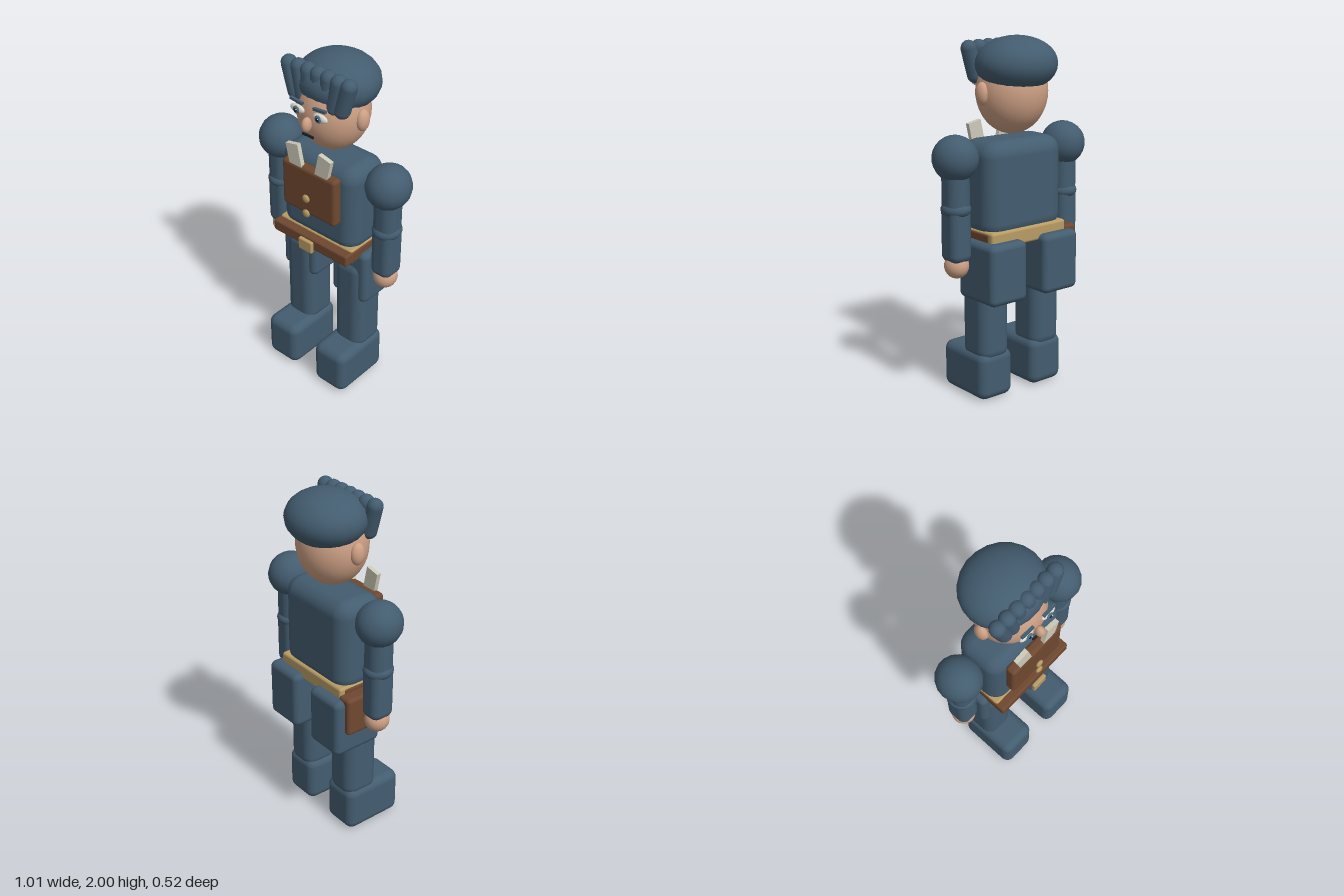
import * as THREE from 'three';
import { RoundedBoxGeometry } from 'three/addons/geometries/RoundedBoxGeometry.js';

const mat = (name, color) => new THREE.MeshStandardMaterial({ name, color });

export function createModel() {
  const navy = mat('navy', 0x435c6f);
  const skin = mat('skin', 0xcda084);
  const leather = mat('leather', 0x6f4830);
  const brass = mat('brass', 0xb89c64);
  const paper = mat('paper', 0xcfcbb9);
  const eyeWhite = mat('eyeWhite', 0xdedcd2);
  const iris = mat('iris', 0x55748a);
  const dark = mat('dark', 0x1c2229);

  const root = new THREE.Group();
  const add = (name, geometry, material, x, y, z, tilt = 0) => {
    const mesh = new THREE.Mesh(geometry, material);
    mesh.name = name;
    mesh.position.set(x, y, z);
    mesh.rotation.z = tilt;
    root.add(mesh);
    return mesh;
  };
  // Rounded box given by its extents in y and z, centred on x
  const block = (name, material, x, w, [y0, y1], [z0, z1], radius) =>
    add(name, new RoundedBoxGeometry(w, y1 - y0, z1 - z0, 3, radius), material,
      x, (y0 + y1) / 2, (z0 + z1) / 2);
  const ball = (name, material, x, y, z, rx, ry, rz, seg = 20) =>
    add(name, new THREE.SphereGeometry(1, seg, Math.ceil(seg * 0.7)).scale(rx, ry, rz), material, x, y, z);

  // Torso and belt
  block('torso', navy, 0, 0.53, [0.92, 1.455], [-0.15, 0.15], 0.09);
  block('jacketHem', brass, 0, 0.525, [0.885, 0.975], [-0.16, 0.15], 0.015);
  block('belt', leather, 0, 0.535, [0.895, 0.965], [-0.13, 0.2], 0.012);
  block('buckle', brass, 0, 0.096, [0.895, 0.968], [0.212, 0.236], 0.008);
  block('hipPouch', leather, -0.295, 0.09, [0.715, 0.94], [-0.165, 0.02], 0.02);

  // Chest pouch with two folded papers
  block('chestPouch', leather, 0, 0.375, [1.12, 1.41], [0.14, 0.204], 0.022);
  for (const y of [1.14, 1.235]) ball('pouchButton', brass, 0, y, 0.218, 0.024, 0.024, 0.012, 14);

  for (const s of [1, -1]) {
    const side = s > 0 ? 'left' : 'right';

    add(side + 'Paper', new THREE.BoxGeometry(0.085, 0.2, 0.026), paper, s * 0.094, 1.425, 0.186, -s * 0.22);

    // Legs
    block(side + 'Shoe', navy, s * 0.183, 0.226, [0, 0.275], [-0.11, 0.26], 0.05);
    block(side + 'Leg', navy, s * 0.185, 0.198, [0.22, 0.835], [-0.11, 0.106], 0.065);
    block(side + 'CoatTail', navy, s * 0.185, 0.25, [0.58, 0.92], [-0.22, 0.088], 0.035);

    // Arms
    ball(side + 'Shoulder', navy, s * 0.382, 1.375, 0, 0.123, 0.125, 0.13, 18);
    block(side + 'UpperArm', navy, s * 0.382, 0.138, [1.06, 1.36], [-0.073, 0.073], 0.06);
    ball(side + 'Elbow', navy, s * 0.382, 1.102, 0, 0.08, 0.052, 0.086);
    block(side + 'Forearm', navy, s * 0.382, 0.132, [0.81, 1.13], [-0.072, 0.072], 0.045);
    ball(side + 'Hand', skin, s * 0.382, 0.79, 0, 0.067, 0.07, 0.07);

    // Ears and eyes
    ball(side + 'Ear', skin, s * 0.2, 1.7, 0, 0.033, 0.062, 0.042, 16);
    ball(side + 'Eye', eyeWhite, s * 0.078, 1.742, 0.185, 0.048, 0.025, 0.016, 16);
    ball(side + 'Iris', iris, s * 0.074, 1.742, 0.199, 0.021, 0.022, 0.008, 14);
    ball(side + 'Pupil', dark, s * 0.074, 1.742, 0.206, 0.01, 0.011, 0.005, 12);
    ball(side + 'EyeGlint', eyeWhite, s * 0.074 + 0.008, 1.75, 0.21, 0.004, 0.004, 0.003, 8);
    add(side + 'Brow', new THREE.BoxGeometry(0.084, 0.014, 0.016), navy, s * 0.078, 1.79, 0.19, s * 0.1);
  }

  // Head and face
  ball('head', skin, 0, 1.7, -0.005, 0.2, 0.23, 0.193, 28);
  ball('nose', skin, 0, 1.683, 0.203, 0.025, 0.043, 0.032, 16);
  add('mouth', new THREE.BoxGeometry(0.076, 0.012, 0.009), dark, 0, 1.616, 0.193);

  // Hair: cap with a fan of fringe locks
  ball('hairCap', navy, 0, 1.85, -0.045, 0.23, 0.15, 0.215, 22);
  for (let i = -3; i <= 3; i++) {
    add('fringeLock', new THREE.CapsuleGeometry(0.044, 0.152, 5, 12), navy, i * 0.06, 1.858, 0.11, -i * 0.095);
  }
  return root;
}
